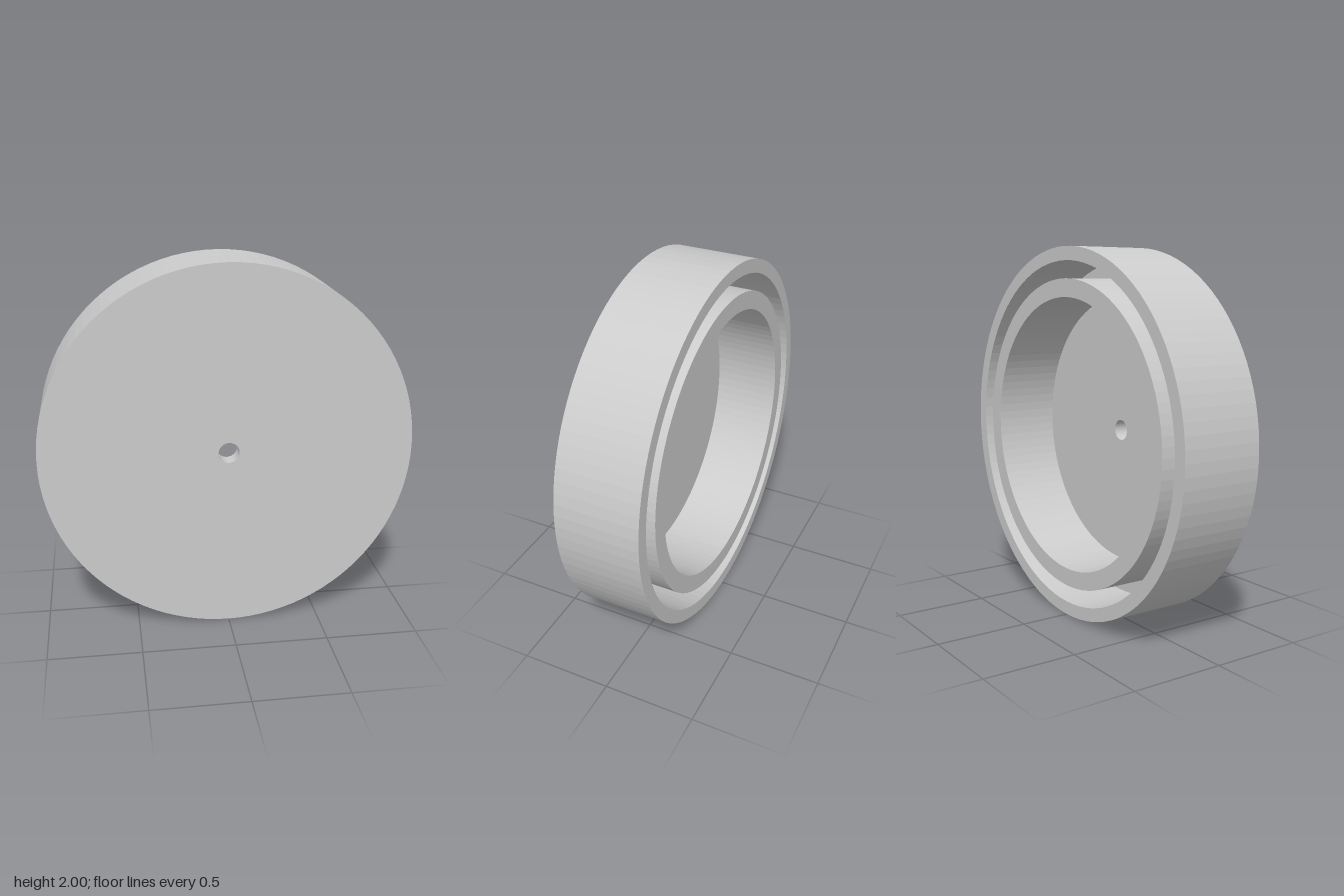
import * as THREE from 'three';

const SEGMENTS = 100;
const FRONT = 0.227, BACK = -0.227, FLOOR = 0.137;
const HOLE = 0.056;

// Turns a closed (radius, z) profile around the z axis, centred at y = 1
function turned(name, profile) {
  const points = profile.map(([r, z]) => new THREE.Vector2(r, z));
  points.push(points[0].clone());
  const geometry = new THREE.LatheGeometry(points, SEGMENTS);
  geometry.rotateX(Math.PI / 2);
  const material = new THREE.MeshStandardMaterial({ color: 0xcccccc, flatShading: true });
  const mesh = new THREE.Mesh(geometry, material);
  mesh.name = name;
  mesh.position.y = 1;
  return mesh;
}

export function createModel() {
  const group = new THREE.Group();
  group.name = 'ringedCap';

  // One solid: front disc with a centre hole, an outer rim and a concentric
  // inner ring, both reaching the open back with a groove between them
  group.add(turned('capBody', [
    [1, BACK], [1, FRONT],           // outer wall
    [HOLE, FRONT], [HOLE, FLOOR],    // front face and centre hole
    [0.737, FLOOR], [0.737, BACK],   // recess floor and inner ring bore
    [0.834, BACK], [0.834, FLOOR],   // inner ring edge and outside
    [0.927, FLOOR], [0.927, BACK],   // groove floor and inside of the rim
  ]));
  return group;
}
